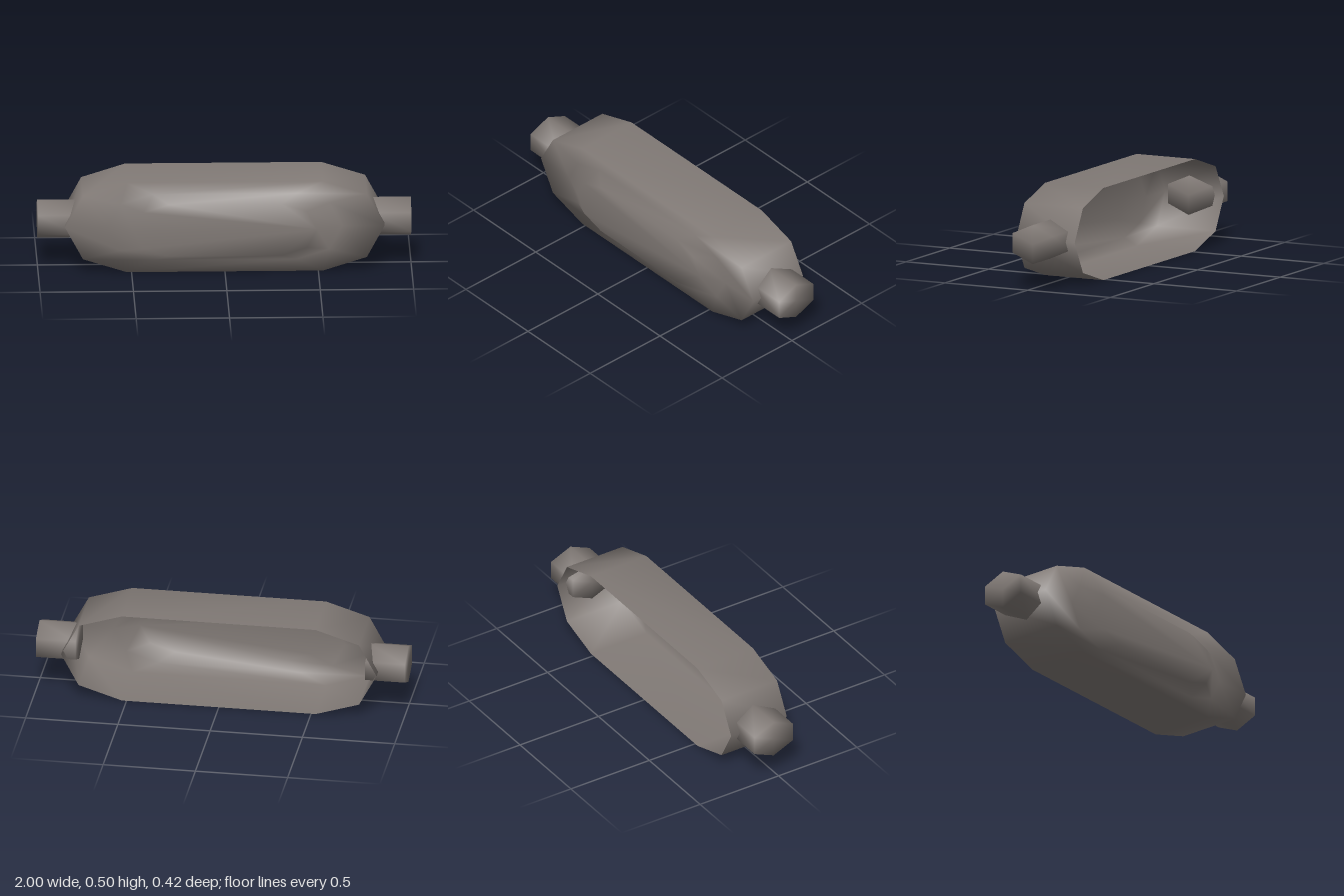
import * as THREE from 'three';
import { mergeVertices } from 'three/addons/utils/BufferGeometryUtils.js';

const MID_Y = 0.25;

// Fully smooth normals across shared corners
function smooth(geometry) {
  geometry.deleteAttribute('normal');
  geometry.deleteAttribute('uv');
  const merged = mergeVertices(geometry, 1e-4);
  merged.computeVertexNormals();
  return merged;
}

// Ten-sided shell, open at the back, with a raised panel on the front
function shellGeometry() {
  const outline = [
    [0.855, 0], [0.76, 0.176], [0.525, 0.25], [-0.525, 0.25], [-0.76, 0.176],
    [-0.855, 0], [-0.76, -0.176], [-0.525, -0.25], [0.525, -0.25], [0.76, -0.176],
  ];
  // [z, scale] for each cross-section, back to front
  const sections = [[-0.208, 1], [0.146, 1], [0.146, 0.735], [0.209, 0.575]];
  const n = outline.length;
  const positions = [];
  const index = [];
  for (const [z, s] of sections) {
    for (const [x, y] of outline) positions.push(x * s, MID_Y + y * s, z);
  }
  for (let i = 0; i < sections.length - 1; i++) {
    for (let j = 0; j < n; j++) {
      const k = (j + 1) % n;
      const a = i * n + j, b = i * n + k, c = b + n, d = a + n;
      index.push(a, b, c, a, c, d);
    }
  }
  // Front panel face
  const last = (sections.length - 1) * n;
  for (let j = 1; j < n - 1; j++) index.push(last, last + j, last + j + 1);

  const geometry = new THREE.BufferGeometry();
  geometry.setAttribute('position', new THREE.Float32BufferAttribute(positions, 3));
  geometry.setIndex(index);
  geometry.computeVertexNormals();
  return geometry;
}

// Flattened hexagonal peg lying along x
function pegGeometry(length) {
  const geometry = new THREE.CylinderGeometry(1, 1, length, 6, 1, false, Math.PI / 6);
  geometry.scale(0.106, 1, 0.1415);
  geometry.rotateZ(Math.PI / 2);
  return smooth(geometry);
}

export function createModel() {
  const model = new THREE.Group();
  model.name = 'housing';
  const metal = new THREE.MeshStandardMaterial({ color: 0x807975, side: THREE.DoubleSide });
  metal.name = 'warm grey metal';

  const shell = new THREE.Mesh(shellGeometry(), metal);
  shell.name = 'shell';
  model.add(shell);

  // End pegs pass slightly through the shell wall
  const inner = 0.785;
  const geometry = pegGeometry(1 - inner);
  for (const [name, side] of [['leftPeg', 1], ['rightPeg', -1]]) {
    const peg = new THREE.Mesh(geometry, metal);
    peg.name = name;
    peg.position.set(side * (1 + inner) / 2, MID_Y, -0.031);
    model.add(peg);
  }
  return model;
}
